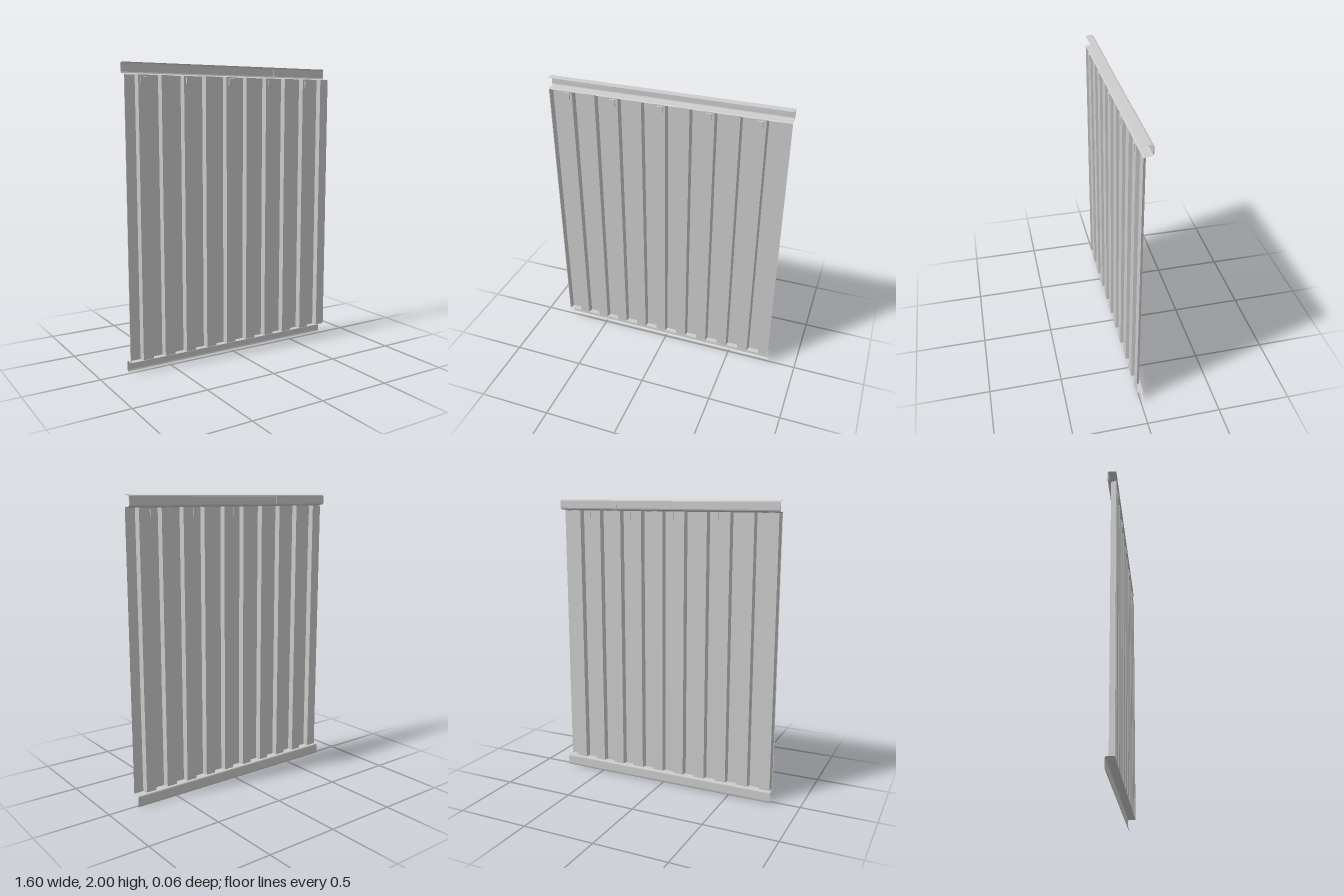
import * as THREE from 'three';

const material = new THREE.MeshStandardMaterial({ color: 0xcccccc, flatShading: true, side: THREE.DoubleSide });

function add(parent, name, geometry, x = 0, y = 0, z = 0) {
  const mesh = new THREE.Mesh(geometry, material);
  mesh.name = name;
  mesh.position.set(x, y, z);
  parent.add(mesh);
  return mesh;
}

// Thin folded sheet: an open profile swept straight between two ends
function foldedSheet(profile, from, to, place) {
  const positions = [];
  for (let i = 0; i < profile.length - 1; i++) {
    const a = place(profile[i], from), b = place(profile[i + 1], from);
    const c = place(profile[i + 1], to), d = place(profile[i], to);
    positions.push(...a, ...b, ...c, ...a, ...c, ...d);
  }
  const geometry = new THREE.BufferGeometry();
  geometry.setAttribute('position', new THREE.Float32BufferAttribute(positions, 3));
  geometry.computeVertexNormals();
  return geometry;
}

// Shallow cover box whose front face is smaller than its back
function ventGeometry() {
  const geometry = new THREE.BoxGeometry(0.05, 0.055, 0.02);
  const p = geometry.attributes.position;
  for (let i = 0; i < p.count; i++) {
    if (p.getZ(i) > 0) p.setXY(i, p.getX(i) * 0.75, p.getY(i) * 0.8);
  }
  geometry.computeVertexNormals();
  return geometry;
}

export function createModel() {
  const group = new THREE.Group();
  group.name = 'corrugatedWallPanel';

  // Corrugated sheet: alternating rear and front flats with steep steps
  const front = 0.026, back = -0.009, step = 0.004;
  const folds = [[-0.8, front]];
  for (let i = 0; i < 10; i++) {
    const x = -0.792 + i * 0.16;
    folds.push([x - step, front], [x + step, back]);
    folds.push([x + 0.08 - step, back], [x + 0.08 + step, front]);
  }
  folds.push([0.8, front]);
  add(group, 'corrugatedSheet', foldedSheet(folds, 0.08, 1.923, ([x, z], y) => [x, y, z]));

  // Rails, profiles given as [z, y]
  const alongX = ([z, y], x) => [x, y, z];
  const topProfile = [
    [0.026, 1.997], [-0.018, 2], [-0.026, 1.997], [-0.029, 1.989],
    [-0.029, 1.94], [-0.026, 1.932], [-0.018, 1.929], [0.018, 1.926], [0.026, 1.921],
  ];
  const bottomProfile = [
    [0.026, 0.078], [-0.02, 0.08], [-0.027, 0.077], [-0.029, 0.07],
    [-0.029, 0.015], [-0.027, 0.006], [-0.02, 0],
  ];
  add(group, 'topRail', foldedSheet(topProfile, -0.8, 0.8, alongX));
  add(group, 'bottomRail', foldedSheet(bottomProfile, -0.8, 0.8, alongX));

  // Reinforcing plates with a pointed bead at both ends of the top rail
  const bead = new THREE.Shape([
    [-0.18, 0.008], [-0.155, -0.008], [0.155, -0.008], [0.18, 0.008],
  ].map(([x, y]) => new THREE.Vector2(x, y)));
  const beadGeometry = new THREE.ExtrudeGeometry(bead, { depth: 0.009, bevelEnabled: false });
  for (const side of [-1, 1]) {
    add(group, 'railPlate', new THREE.BoxGeometry(0.45, 0.05, 0.006), side * 0.575, 1.965, -0.029);
    add(group, 'railBead', beadGeometry, side * 0.57, 1.957, -0.033);
  }

  // Vent covers on every second front flat
  const vent = ventGeometry();
  for (let i = 0; i < 5; i++) {
    add(group, 'ventCover', vent, -0.672 + i * 0.32, 1.89, 0.022);
  }
  return group;
}
